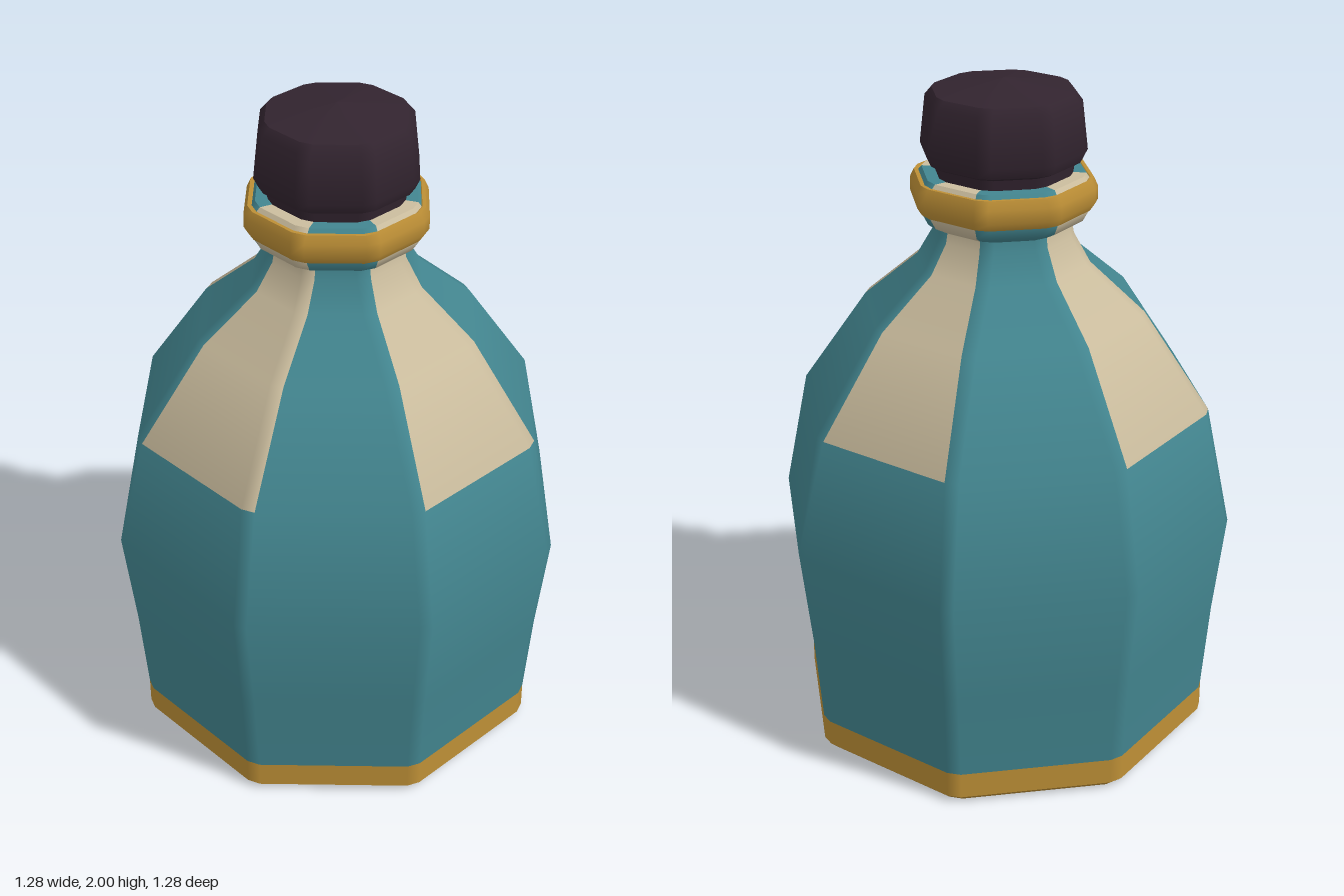
import * as THREE from 'three';

const CHAMFER = 0.022;
const CREASE = Math.cos(0.6);

// Octagon with cut corners: 16 points, each carrying the direction of its flat side.
function ring(apothem) {
  const pts = [];
  const c = Math.min(CHAMFER, apothem * 0.2);
  const h = apothem * Math.tan(Math.PI / 8) - c;
  for (let k = 0; k < 8; k++) {
    const s = Math.sin(k * Math.PI / 4), q = Math.cos(k * Math.PI / 4);
    for (const side of [-1, 1]) {
      pts.push({ x: s * apothem + q * h * side, z: q * apothem - s * h * side, dx: s, dz: q });
    }
  }
  return pts;
}

// Lofts a profile of [apothem, y] rows; keep(row, column) picks the faces of one part.
// Even columns are flat sides (0 = front, 4 = +x), odd columns the cut corners.
function loft(name, profile, material, keep = () => true) {
  const rings = profile.map(p => ring(p[0]));
  const slopes = profile.slice(1).map((p, i) =>
    new THREE.Vector2(p[1] - profile[i][1], profile[i][0] - p[0]).normalize());
  // soft across gentle bends, sharp across hard ones
  const slopeAt = (row, other) => {
    const a = slopes[row], b = slopes[other];
    return b && a.dot(b) > CREASE ? a.clone().add(b).normalize() : a;
  };
  const pos = [], nor = [];
  for (let r = 0; r < slopes.length; r++) {
    const low = slopeAt(r, r - 1), high = slopeAt(r, r + 1);
    for (let j = 0; j < 16; j++) {
      if (!keep(r, j)) continue;
      const n = (j + 1) % 16;
      const quad = [[r, j, low], [r, n, low], [r + 1, n, high], [r + 1, j, high]];
      for (const i of [0, 1, 2, 0, 2, 3]) {
        const [row, col, s] = quad[i];
        const p = rings[row][col];
        pos.push(p.x, profile[row][1], p.z);
        nor.push(p.dx * s.x, s.y, p.dz * s.x);
      }
    }
  }
  const g = new THREE.BufferGeometry();
  g.setAttribute('position', new THREE.Float32BufferAttribute(pos, 3));
  g.setAttribute('normal', new THREE.Float32BufferAttribute(nor, 3));
  const mesh = new THREE.Mesh(g, material);
  mesh.name = name;
  return mesh;
}

function flat(name, color) {
  const m = new THREE.MeshStandardMaterial({ color });
  m.name = name;
  return m;
}

export function createModel() {
  const teal = flat('teal glaze', 0x438690);
  const cream = flat('cream', 0xcbbd9e);
  const gold = flat('gold', 0xbd8f36);
  const dark = flat('dark stopper', 0x32242f);

  const bottle = new THREE.Group();
  bottle.name = 'bottle';

  // Gold foot with a small bevel and closed underside
  bottle.add(loft('foot', [[0, 0], [0.57, 0], [0.59, 0.02], [0.59, 0.1]], gold));

  // Body, shoulder, neck and lip share one profile; cream panels start at row 3
  const body = [
    [0.59, 0.1], [0.61, 0.37], [0.642, 0.68], [0.573, 1.04], [0.39, 1.33],
    [0.24, 1.47], [0.195, 1.555], [0.19, 1.585], [0.225, 1.605], [0.24, 1.635],
    [0.24, 1.715], [0.225, 1.735], [0, 1.735],
  ];
  const panelColumns = [0, 1, 4, 8, 9, 12, 13];
  const isPanel = (r, j) => r >= 3 && panelColumns.includes(j);
  bottle.add(loft('body', body, teal, (r, j) => !isPanel(r, j)));
  bottle.add(loft('shoulderPanels', body, cream, isPanel));

  // Gold band around the lip
  bottle.add(loft('neckBand', [
    [0.225, 1.638], [0.244, 1.638], [0.257, 1.66], [0.257, 1.7], [0.246, 1.725], [0.236, 1.725], [0.225, 1.715],
  ], gold));

  // Stopper: short stem, flared head, shallow peaked top
  bottle.add(loft('stopper', [
    [0.19, 1.73], [0.195, 1.765], [0.215, 1.775], [0.228, 1.805], [0.213, 1.945], [0.195, 1.968], [0, 2],
  ], dark));

  return bottle;
}
